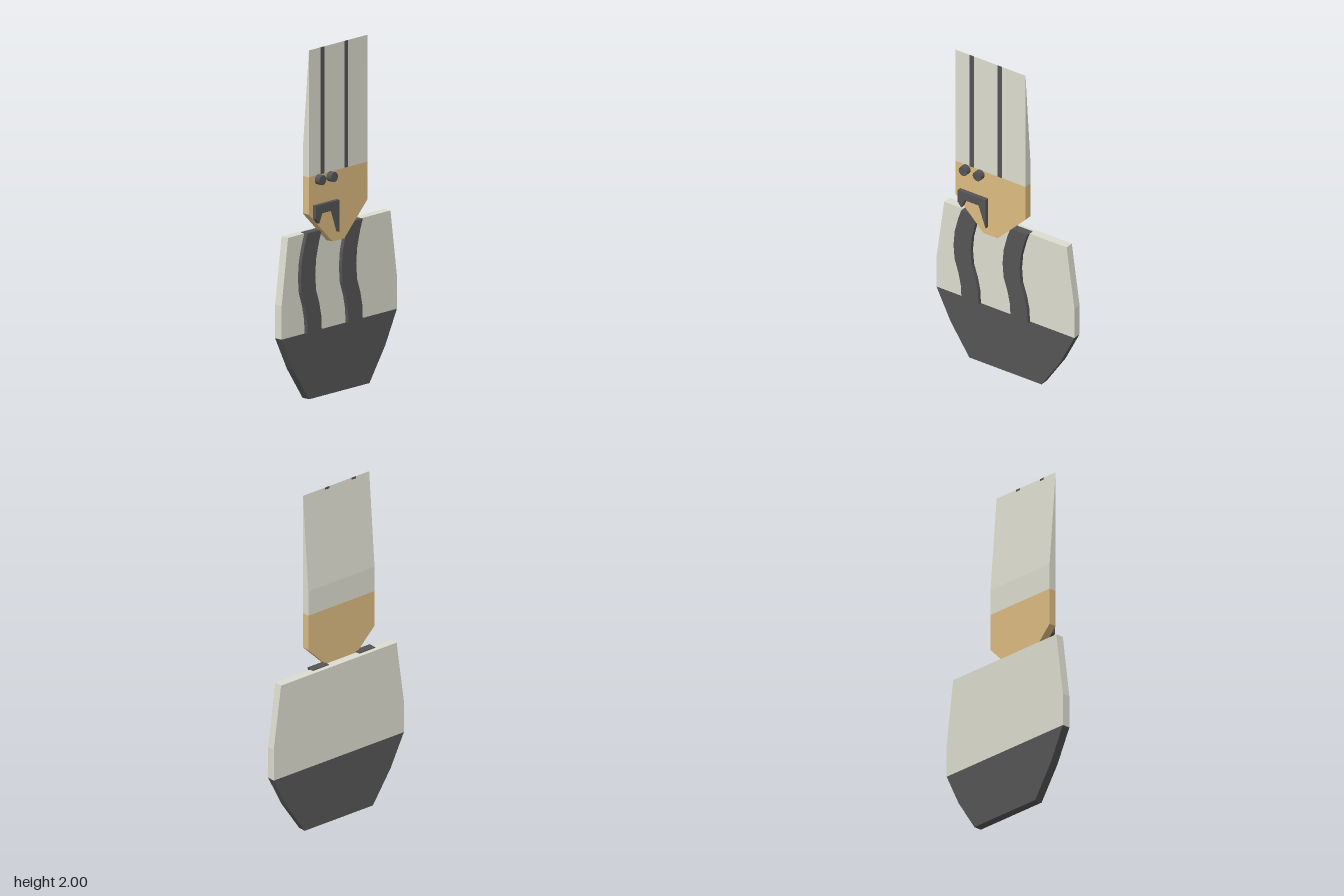
import * as THREE from 'three';

const paint = (color) => new THREE.MeshStandardMaterial({ color, flatShading: true });

export function createModel() {
  const root = new THREE.Group();
  const cream = paint(0xdcdccf);
  const gold = paint(0xdcbb80);
  const dark = paint(0x555555);

  function add(name, geometry, material) {
    const mesh = new THREE.Mesh(geometry, material);
    mesh.name = name;
    root.add(mesh);
    return mesh;
  }

  // Flat plate: outline given as [z, y], thickness running from x0 to x1
  function plate(name, outline, x0, x1, material) {
    const shape = new THREE.Shape(outline.map(([z, y]) => new THREE.Vector2(-z, y)));
    const geometry = new THREE.ExtrudeGeometry(shape, { depth: x1 - x0, bevelEnabled: false });
    geometry.rotateY(Math.PI / 2).translate(x0, 0, 0);
    return add(name, geometry, material);
  }

  // Completes a half outline by mirroring it in z
  const mirrored = (half) => [...half, ...half.map(([z, y]) => [-z, y]).reverse()];

  // Broad lower plate with a dark tapered foot
  plate('lowerPlate', mirrored([[0.412, 0.948], [0.464, 0.57], [0.464, 0.38]]), -0.07, -0.021, cream);
  plate('foot', mirrored([[0.464, 0.38], [0.37, 0.19], [0.243, 0]]), -0.07, -0.021, dark);

  // Two wavy bands on the lower plate
  const wave = [[0.28, 0.953], [0.302, 0.89], [0.325, 0.8], [0.333, 0.71],
    [0.326, 0.62], [0.3, 0.54], [0.283, 0.46], [0.28, 0.38]];
  for (const shift of [0, -0.33]) {
    const left = wave.map(([z, y]) => [z + shift, y]);
    const right = left.map(([z, y]) => [z - 0.115, y]).reverse();
    plate('waveBand', [...left, ...right], -0.044, 0.002, dark);
  }

  // Upper blade: side profile that thins to an edge at the top
  const profile = new THREE.Shape([[-0.015, 1.28], [0.031, 1.28], [0.031, 2], [-0.015, 1.43]]
    .map(([x, y]) => new THREE.Vector2(x, y)));
  const blade = new THREE.ExtrudeGeometry(profile, { depth: 0.472, bevelEnabled: false });
  add('blade', blade.translate(0, 0, -0.172), cream);

  // Dark stripes along the blade face
  for (const z of [0.19, 0]) {
    const stripe = add('bladeStripe', new THREE.BoxGeometry(0.002, 0.72, 0.03), dark);
    stripe.position.set(0.031, 1.64, z);
  }

  // Pointed gold head below the blade
  plate('head', [[0.3, 1.28], [0.3, 1.067], [0.111, 0.88], [0.015, 0.88], [-0.172, 1.067], [-0.172, 1.28]],
    -0.015, 0.031, gold);

  // Round eyes
  for (const z of [0.225, 0.131]) {
    const eye = add('eye', new THREE.CylinderGeometry(0.028, 0.028, 0.036, 24).rotateZ(Math.PI / 2),
      new THREE.MeshStandardMaterial({ color: 0x555555 }));
    eye.position.set(0.048, 1.255, z);
  }

  // Mouth with two fangs
  plate('mouth', [[0.268, 1.115], [0.268, 1.04], [0.243, 1.01], [0.218, 1.065],
    [0.127, 1.065], [0.079, 0.932], [0.079, 1.115]], 0.031, 0.056, dark);

  return root;
}
